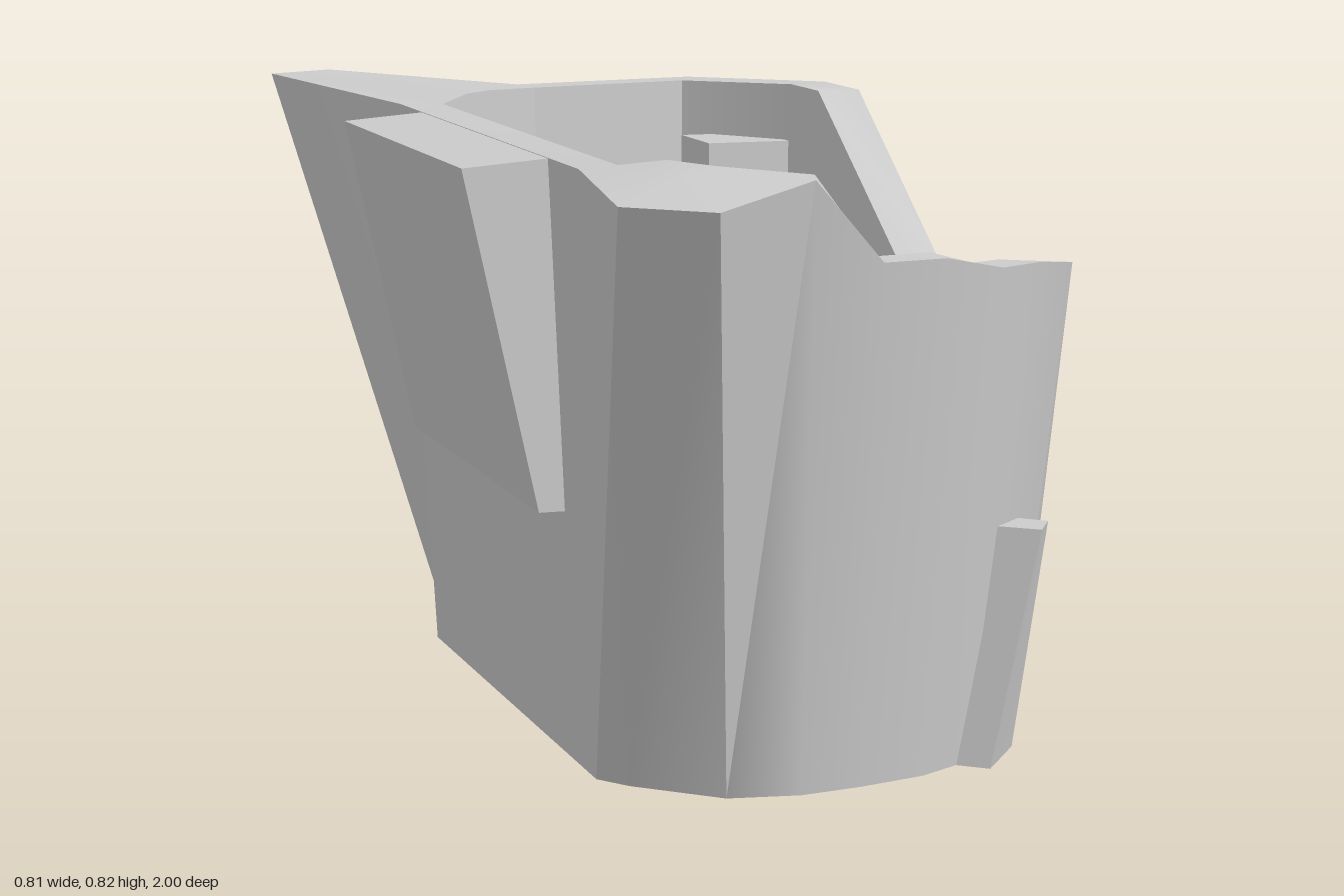
import * as THREE from 'three';
import { toCreasedNormals } from 'three/addons/utils/BufferGeometryUtils.js';

const material = new THREE.MeshStandardMaterial({ color: 0xcccccc, side: THREE.DoubleSide });

// Skin a list of equal-length rings of [x, y, z], optionally capping first and last
function skin(rings, crease, caps) {
  const pos = [];
  const n = rings[0].length;
  const tri = (...p) => p.forEach((v) => pos.push(...v));
  for (let r = 0; r < rings.length - 1; r++) {
    for (let i = 0; i < n; i++) {
      const j = (i + 1) % n;
      const [a, b, c, d] = [rings[r][i], rings[r][j], rings[r + 1][j], rings[r + 1][i]];
      tri(a, b, c);
      tri(a, c, d);
    }
  }
  if (caps) {
    const lo = rings[0], hi = rings[rings.length - 1];
    for (let i = 1; i < n - 1; i++) {
      tri(hi[0], hi[i], hi[i + 1]);
      tri(lo[0], lo[i + 1], lo[i]);
    }
  }
  const g = new THREE.BufferGeometry();
  g.setAttribute('position', new THREE.Float32BufferAttribute(pos, 3));
  return toCreasedNormals(g, crease);
}

// Straight prism between two plan outlines (counter-clockwise from above)
function prism(lower, y0, upper, y1) {
  const at = (plan, y) => plan.map(([x, z], i) => [x, Array.isArray(y) ? y[i] : y, z]);
  return skin([at(lower, y0), at(upper, y1)], 0.1, true);
}

export function createModel() {
  const group = new THREE.Group();
  const add = (name, geometry) => {
    const mesh = new THREE.Mesh(geometry, material);
    mesh.name = name;
    group.add(mesh);
  };

  // Shell stations: outer rim x, z, height | inner rim x, z | outer foot x, z
  const stations = [
    [0.385, 0.47, 0.66, 0.32, 0.43, 0.345, 0.40],
    [0.382, 0.33, 0.61, 0.32, 0.33, 0.345, 0.30],
    [0.382, 0.00, 0.61, 0.32, 0.00, 0.345, 0.00],
    [0.385, -0.33, 0.82, 0.32, -0.33, 0.345, -0.30],
    [0.385, -0.48, 0.82, 0.32, -0.45, 0.345, -0.40],
    [0.23, -0.69, 0.815, 0.20, -0.625, 0.20, -0.60],
    [-0.05, -0.69, 0.81, -0.04, -0.625, -0.04, -0.61],
    [-0.28, -1.00, 0.815, -0.13, -0.55, -0.13, -0.58],
    [-0.385, -0.95, 0.815, -0.18, -0.50, -0.225, -0.47],
    [-0.29, -0.47, 0.805, -0.23, -0.45, -0.255, -0.42],
    [-0.29, 0.47, 0.805, -0.23, 0.45, -0.255, 0.42],
    [-0.385, 0.95, 0.815, -0.18, 0.49, -0.225, 0.47],
    [-0.28, 1.00, 0.81, -0.13, 0.535, -0.13, 0.58],
    [-0.05, 0.68, 0.805, -0.03, 0.62, -0.04, 0.61],
    [0.04, 0.68, 0.70, 0.05, 0.62, 0.04, 0.61],
    [0.13, 0.665, 0.70, 0.13, 0.605, 0.13, 0.60],
    [0.22, 0.63, 0.68, 0.20, 0.575, 0.22, 0.56],
    [0.30, 0.56, 0.675, 0.26, 0.52, 0.295, 0.49],
  ];
  const footY = (x) => 0.05 * (x + 0.255);
  const foot = stations.map((s) => [s[5], footY(s[5]), s[6]]);
  const rim = stations.map((s) => [s[0], s[2], s[1]]);
  const innerRim = stations.map((s) => [s[3], s[2], s[4]]);
  const innerFoot = stations.map((s) => [s[3] * 0.91, footY(s[3]) + 0.005, s[4] * 0.91]);
  add('shell', skin([foot, rim, innerRim, innerFoot, foot], 0.65, false));

  // Leaning wedge on the winged side
  const rect = (x0, x1, z0, z1) => [[x1, z1], [x1, z0], [x0, z0], [x0, z1]];
  add('wingSidePanel', prism(
    rect(-0.305, -0.265, -0.34, 0.33), 0.34,
    rect(-0.405, -0.28, -0.34, 0.33), [0.805, 0.805, 0.795, 0.795]));

  // Flat raised plate on the open side
  add('sidePlate', prism(
    rect(0.353, 0.383, -0.30, 0.30), 0.048,
    rect(0.372, 0.405, -0.315, 0.315), 0.355));

  // Tapered ribs at the two rounded corners
  for (const s of [1, -1]) {
    const plan = (pts) => {
      const p = pts.map(([x, z]) => [x, z * s]);
      return s > 0 ? p : p.reverse();
    };
    add(s > 0 ? 'frontRib' : 'backRib', prism(
      plan([[0.222, 0.605], [0.292, 0.51], [0.24, 0.47], [0.17, 0.56]]), 0.022,
      plan([[0.285, 0.615], [0.315, 0.565], [0.25, 0.50], [0.22, 0.56]]), 0.336));
  }

  // Inner blocks: x0, x1, z0, z1, bottom, top
  const blocks = {
    backLeftBlock: [-0.21, -0.09, -0.50, -0.35, 0.08, 0.62],
    backInnerBlock: [-0.10, 0.015, -0.60, -0.505, 0.08, 0.62],
    backRightBlock: [0.182, 0.31, -0.57, -0.435, 0.3, 0.735],
    frontInnerBlock: [-0.10, 0.015, 0.46, 0.59, 0.1, 0.5],
    frontRightBlock: [0.182, 0.30, 0.385, 0.52, 0.15, 0.45],
    frontRightLedge: [0.20, 0.305, 0.28, 0.39, 0.03, 0.25],
  };
  for (const [name, [x0, x1, z0, z1, y0, y1]] of Object.entries(blocks)) {
    const plan = rect(x0, x1, z0, z1);
    add(name, prism(plan, y0, plan, y1));
  }
  // Diagonal fill joining the two back blocks
  const fill = [[-0.09, -0.48], [-0.06, -0.52], [-0.10, -0.56], [-0.17, -0.50]];
  add('backBlockFill', prism(fill, 0.08, fill, 0.62));
  // Front block with a slanted inner face
  const slanted = [[-0.09, 0.46], [-0.09, 0.29], [-0.135, 0.105], [-0.215, 0.105], [-0.215, 0.44]];
  add('frontLeftBlock', prism(slanted, 0.1, slanted, 0.55));

  return group;
}
